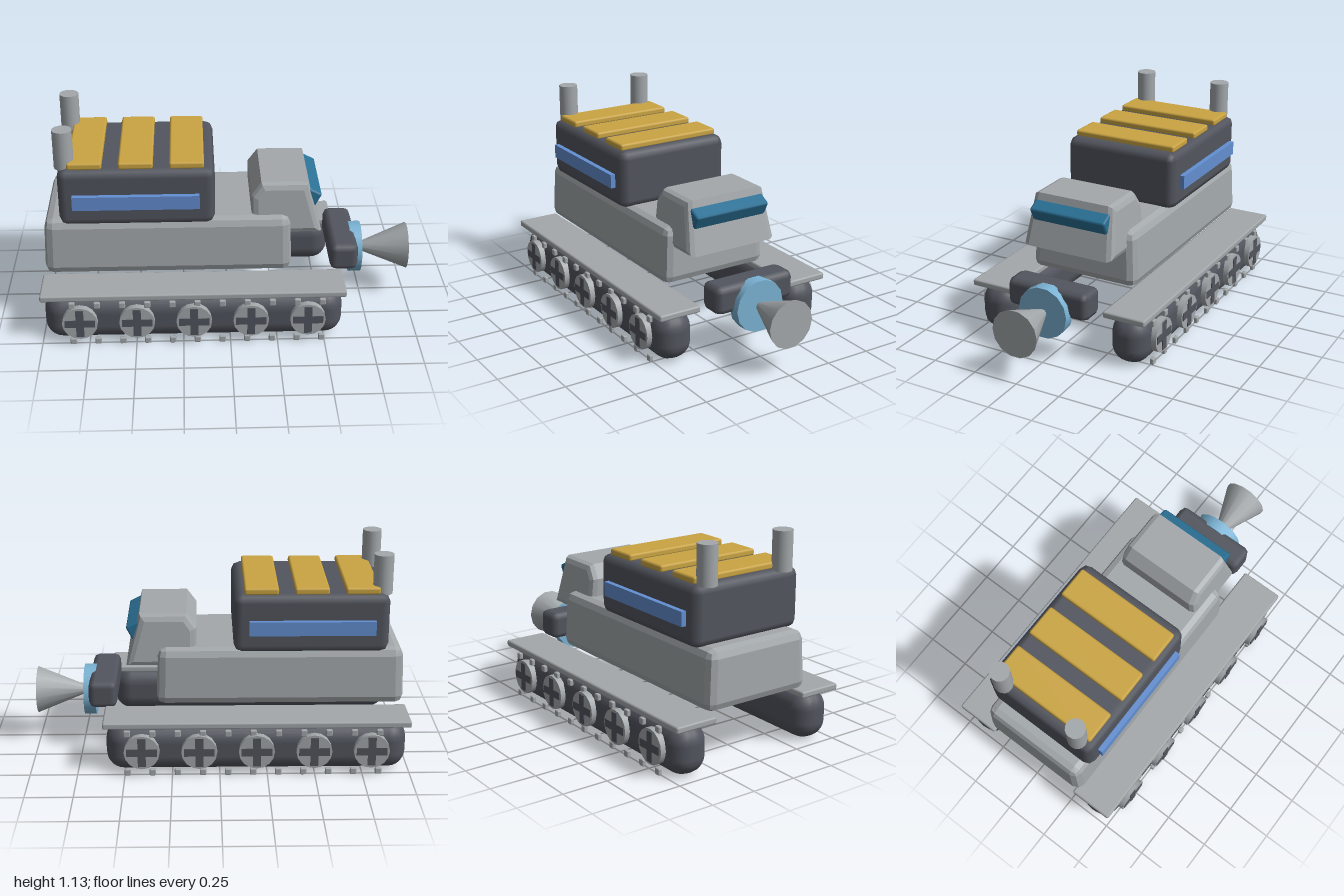
import * as THREE from 'three';
import { RoundedBoxGeometry } from 'three/addons/geometries/RoundedBoxGeometry.js';

const material = (name, color) => Object.assign(new THREE.MeshStandardMaterial({ color }), { name });

export function createModel() {
  const model = new THREE.Group();
  model.name = 'trackedVehicle';

  const grey = material('hull grey', 0xa3a8ab);
  const dark = material('dark grey', 0x52555e);
  const yellow = material('panel yellow', 0xcba543);
  const blue = material('stripe blue', 0x638fd2);
  const paleBlue = material('collar pale blue', 0x7ab2d3);
  const teal = material('windscreen teal', 0x2a7095);

  const add = (name, geometry, mat, x = 0, y = 0, z = 0, parent = model) => {
    const mesh = new THREE.Mesh(geometry, mat);
    mesh.name = name;
    mesh.position.set(x, y, z);
    parent.add(mesh);
    return mesh;
  };

  // Box with softened edges, given by its limits on each axis
  const softBox = (name, mat, [x0, x1], [y0, y1], [z0, z1], r, seg = 1, parent = model) =>
    add(name, new RoundedBoxGeometry(x1 - x0, y1 - y0, z1 - z0, seg, r), mat,
      (x0 + x1) / 2, (y0 + y1) / 2, (z0 + z1) / 2, parent);

  // Narrow a geometry towards its top
  const taper = (geometry, topX, topZ) => {
    geometry.computeBoundingBox();
    const { min, max } = geometry.boundingBox;
    const p = geometry.attributes.position;
    for (let i = 0; i < p.count; i++) {
      const t = (p.getY(i) - min.y) / (max.y - min.y);
      p.setX(i, p.getX(i) * (1 + (topX - 1) * t));
      p.setZ(i, p.getZ(i) * (1 + (topZ - 1) * t));
    }
    geometry.computeVertexNormals();
    return geometry;
  };

  // Hull and engine housing
  const hull = softBox('hull', grey, [-0.985, 0.335], [0.315, 0.63], [-0.316, 0.316], 0.045);
  taper(hull.geometry, 0.985, 0.95);
  softBox('engineHousing', dark, [-0.89, -0.075], [0.615, 0.935], [-0.33, 0.33], 0.045);

  // Roof panels
  for (const x of [-0.748, -0.484, -0.22]) {
    softBox('roofPanel', yellow, [x - 0.09, x + 0.09], [0.928, 0.966], [-0.302, 0.302], 0.012);
  }

  // Cab: bevelled side profile, narrower at the top
  const b = 0.035;
  const profile = new THREE.Shape([
    [0.12 + b, 0.515 + b], [0.49 - b, 0.515 + b], [0.43 - b, 0.8 - b], [0.155 + b, 0.8 - b], [0.12 + b, 0.75 - b],
  ].map(([x, y]) => new THREE.Vector2(x, y)));
  const cab = new THREE.ExtrudeGeometry(profile, {
    depth: 0.47, bevelSize: b, bevelThickness: b, bevelSegments: 2,
  });
  cab.translate(0, 0, -0.235);
  add('cab', taper(cab, 1, 0.88), grey);

  // Windscreen block, tilted forward
  add('windscreen', new RoundedBoxGeometry(0.092, 0.085, 0.446, 1, 0.012), teal, 0.436, 0.711).rotation.z = -0.47;

  // Nose block, collar and horn
  softBox('noseBlock', dark, [0.552, 0.705], [0.263, 0.416], [-0.237, 0.237], 0.035);
  add('collar', new THREE.CylinderGeometry(0.142, 0.142, 0.065, 14), paleBlue, 0.708, 0.285).rotation.z = -Math.PI / 2;
  add('horn', new THREE.CylinderGeometry(0.13, 0.02, 0.27, 14), grey, 0.865, 0.285).rotation.z = -Math.PI / 2;

  for (const side of [1, -1]) {
    const running = new THREE.Group();
    running.name = side > 0 ? 'frontTrack' : 'backTrack';
    model.add(running);
    // Exhaust and side stripe
    add('exhaust', new THREE.CylinderGeometry(0.052, 0.052, 0.21, 16), grey, -0.855, 1.027, side * 0.238);
    add('sideStripe', new THREE.BoxGeometry(0.66, 0.076, 0.035), blue, -0.485, 0.762, side * 0.34);

    // Track and its guard
    add('track', new RoundedBoxGeometry(1.585, 0.262, 0.21, 3, 0.095), dark, -0.193, 0.14, side * 0.396, running);
    add('trackGuard', new RoundedBoxGeometry(1.612, 0.036, 0.24, 1, 0.01), grey, -0.194, 0.287, side * 0.398, running);

    // Road wheels with dark crosses
    for (let i = 0; i < 5; i++) {
      const x = -0.795 + i * 0.301;
      add('wheel', new THREE.CylinderGeometry(0.094, 0.094, 0.036, 16), grey, x, 0.143, side * 0.512, running).rotation.x = Math.PI / 2;
      for (const [w, h] of [[0.16, 0.042], [0.042, 0.16]]) {
        add('wheelCross', new THREE.BoxGeometry(w, h, 0.006), dark, x, 0.143, side * 0.531, running);
      }
    }

    // Lugs along the upper and lower edges
    for (let i = 0; i < 11; i++) {
      for (const y of [0.022, 0.242]) {
        add('lug', new RoundedBoxGeometry(0.034, 0.036, 0.022, 1, 0.006), grey, -0.835 + i * 0.132, y, side * 0.506, running);
      }
    }
  }
  return model;
}
